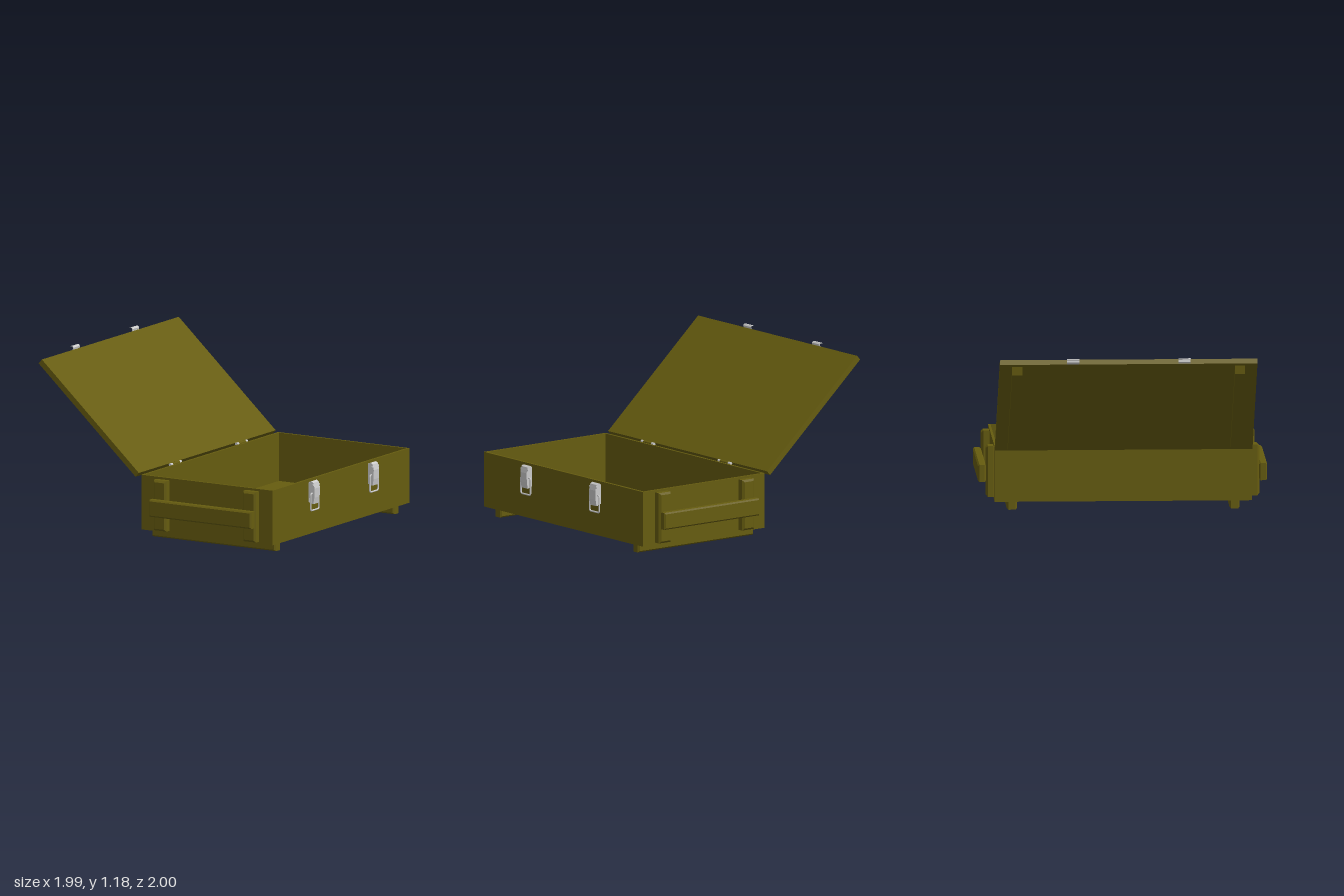
import * as THREE from 'three';

const olive = new THREE.MeshStandardMaterial({ color: 0x665c0f });
const metal = new THREE.MeshStandardMaterial({ color: 0xcccccc });

function add(parent, name, geometry, material, x = 0, y = 0, z = 0) {
  const mesh = new THREE.Mesh(geometry, material);
  mesh.name = name;
  mesh.position.set(x, y, z);
  parent.add(mesh);
  return mesh;
}

// Box with chamfered edges, centred on the origin
function chamferBox(w, h, d, c) {
  const a = w / 2 - c, b = h / 2 - c;
  const shape = new THREE.Shape([[-a, -b], [a, -b], [a, b], [-a, b]].map(p => new THREE.Vector2(...p)));
  return new THREE.ExtrudeGeometry(shape, {
    depth: d - 2 * c, bevelEnabled: true, bevelSize: c, bevelThickness: c, bevelSegments: 1
  }).translate(0, 0, c - d / 2);
}

// Side profile in x/y given a width along z
function profile(points, width) {
  const shape = new THREE.Shape(points.map(p => new THREE.Vector2(...p)));
  return new THREE.ExtrudeGeometry(shape, { depth: width, bevelEnabled: false }).translate(0, 0, -width / 2);
}

// Bent sheet following a polyline in x/y
function bentStrip(points, thickness, width) {
  const pts = points.map(p => new THREE.Vector2(...p));
  const offset = pts.map((p, i) => {
    const d = pts[Math.min(i + 1, pts.length - 1)].clone().sub(pts[Math.max(i - 1, 0)]).normalize();
    return [p.x - d.y * thickness, p.y + d.x * thickness];
  });
  return profile([...points, ...offset.reverse()], width);
}

function rectangle(Type, w, d) {
  return new Type([[-w, -d], [w, -d], [w, d], [-w, d]].map(([x, y]) => new THREE.Vector2(x / 2, y / 2)));
}

function createLatch() {
  const latch = new THREE.Group();
  latch.name = 'latch';
  add(latch, 'latchPlate', new THREE.BoxGeometry(0.01, 0.14, 0.07), metal, 0.943, 0.355, 0);
  add(latch, 'latchLever', profile([
    [0.952, 0.30], [0.966, 0.275], [0.978, 0.275], [0.986, 0.32], [0.988, 0.385],
    [0.978, 0.425], [0.962, 0.435], [0.948, 0.43], [0.946, 0.33]
  ], 0.07), metal);
  add(latch, 'latchPin', new THREE.CylinderGeometry(0.008, 0.008, 0.084, 10).rotateX(Math.PI / 2), metal, 0.975, 0.405, 0);
  // Wire bail with rounded corners
  const path = new THREE.CurvePath();
  const w = 0.053, lo = 0.23, hi = 0.35, r = 0.015;
  const corners = [[-w, lo], [w, lo], [w, hi], [-w, hi]];
  const at = ([z, y]) => new THREE.Vector3(0.968, y, z);
  const toward = (a, b) => at(a).add(at(b).sub(at(a)).setLength(r));
  corners.forEach((c, i) => {
    const next = corners[(i + 1) % 4], after = corners[(i + 2) % 4];
    path.add(new THREE.LineCurve3(toward(c, next), toward(next, c)));
    path.add(new THREE.QuadraticBezierCurve3(toward(next, c), at(next), toward(next, after)));
  });
  add(latch, 'latchBail', new THREE.TubeGeometry(path, 64, 0.006, 8, true), metal);
  return latch;
}

function createHinge() {
  const hinge = new THREE.Group();
  hinge.name = 'hinge';
  const knuckle = length => new THREE.CylinderGeometry(0.011, 0.011, length, 12).rotateX(Math.PI / 2);
  add(hinge, 'hingeKnuckle', knuckle(0.09), olive);
  for (const s of [-1, 1]) add(hinge, 'hingeEnd', knuckle(0.025), metal, 0, 0, s * 0.0575);
  return hinge;
}

export function createModel() {
  const model = new THREE.Group();
  model.name = 'openCrate';

  // Hollow body: wall frame and floor
  const frame = rectangle(THREE.Shape, 1.07, 1.78);
  frame.holes.push(rectangle(THREE.Path, 1.036, 1.746));
  add(model, 'walls', new THREE.ExtrudeGeometry(frame, { depth: 0.385, bevelEnabled: false })
    .rotateX(-Math.PI / 2), olive, 0.405, 0.06, 0);
  add(model, 'floor', new THREE.BoxGeometry(1.036, 0.045, 1.746), olive, 0.405, 0.0825, 0);

  // Lid, swung open; local x runs up the panel, local y points outward
  const lid = new THREE.Group();
  lid.name = 'lid';
  lid.position.set(-0.15, 0.455, 0);
  lid.rotation.z = Math.PI - Math.atan2(0.715, 0.79);
  model.add(lid);
  add(lid, 'lidPanel', new THREE.BoxGeometry(1.066, 0.04, 1.78), olive, 0.533, 0.02, 0);

  for (const s of [-1, 1]) {
    // Runners under the body and battens on the lid
    add(model, 'foot', chamferBox(1.01, 0.062, 0.07, 0.01), olive, 0.405, 0.031, s * 0.77);
    add(lid, 'lidBatten', profile([[0.027, 0.039], [1.044, 0.039], [1.0, 0.084], [0.071, 0.084]], 0.07),
      olive, 0, 0, s * 0.77);

    // End handles: two uprights and a crossbar
    for (const x of [0.05, 0.78]) {
      add(model, 'handleUpright', chamferBox(0.105, 0.355, 0.067, 0.014), olive, x, 0.2525, s * 0.9115);
    }
    add(model, 'handleBar', chamferBox(0.835, 0.12, 0.056, 0.01), olive, 0.415, 0.24, s * 0.972);

    // Fastenings
    const latch = createLatch();
    latch.position.z = s * 0.385;
    model.add(latch);
    add(model, 'lidCatch', bentStrip([
      [-0.95, 1.14], [-0.966, 1.146], [-0.976, 1.158], [-0.973, 1.172], [-0.982, 1.182], [-0.998, 1.18]
    ], 0.004, 0.085), metal, 0, 0, s * 0.385);
    const hinge = createHinge();
    hinge.position.set(-0.14, 0.447, s * 0.43);
    model.add(hinge);
  }
  return model;
}
